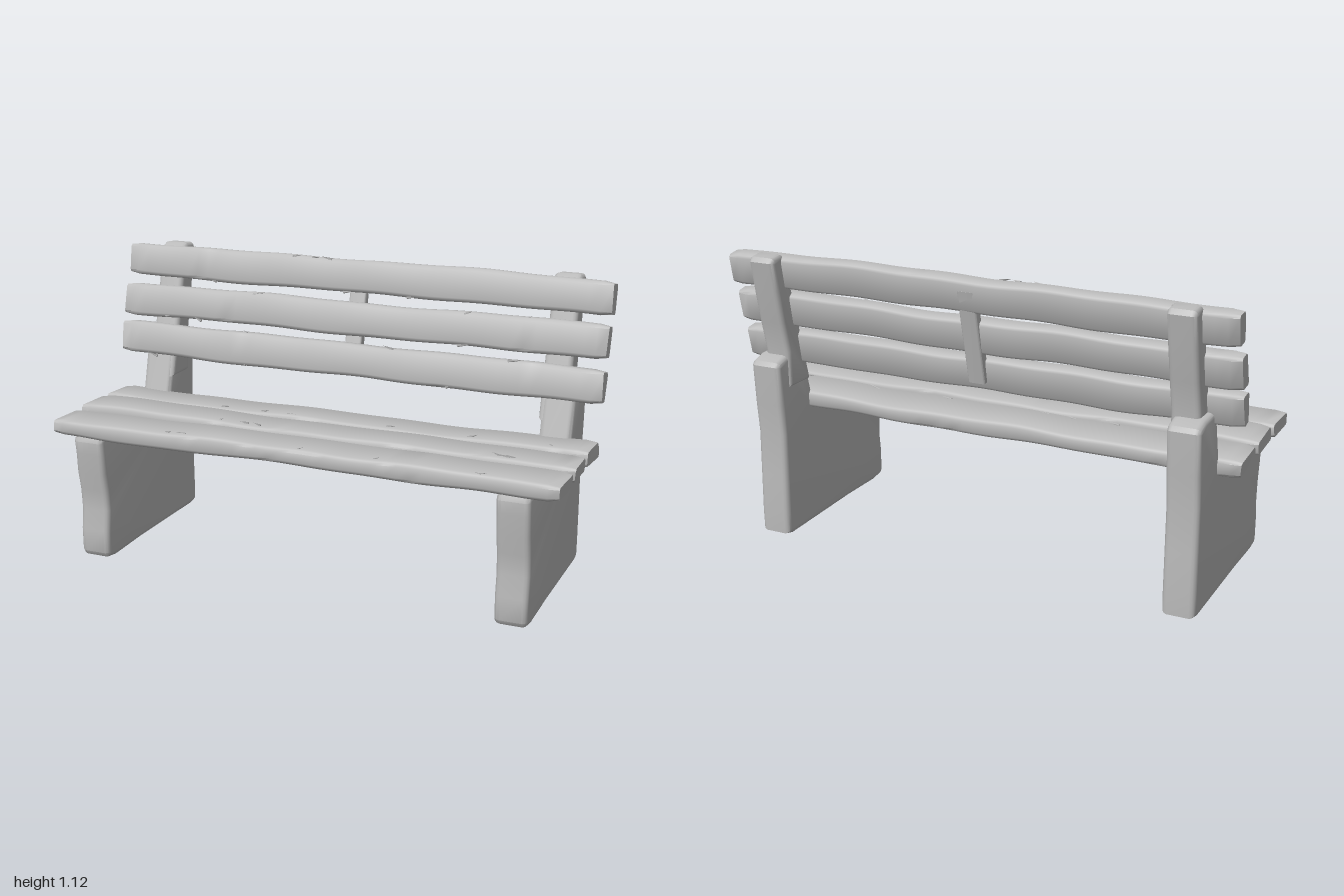
import * as THREE from 'three';
import { mergeVertices, toCreasedNormals } from 'three/addons/utils/BufferGeometryUtils.js';

const wood = new THREE.MeshStandardMaterial({ color: 0xbcbcbc });
wood.name = 'weathered grey';

// Seeded random numbers for the worn edges
let seed = 7;
const rand = () => {
  seed = (seed * 16807) % 2147483647;
  return seed / 2147483647;
};

function smooth(geo, angle) {
  geo.deleteAttribute('uv');
  geo.deleteAttribute('normal');
  return toCreasedNormals(mergeVertices(geo, 1e-4), angle);
}

// A long board with chamfered, uneven edges and a slight bow
function plank(name, length, height, depth, phase) {
  const geo = new THREE.BoxGeometry(length, height, depth, 44, 3, 3);
  const p = geo.attributes.position;
  const c = 0.011;
  const wave = (x, f, k) => Math.sin(x * f + phase * k) * 0.6 + Math.sin(x * f * 2.3 + phase * k * 1.7) * 0.4;
  for (let i = 0; i < p.count; i++) {
    let x = p.getX(i), y = p.getY(i), z = p.getZ(i);
    const sy = Math.sign(y), sz = Math.sign(z);
    const onY = Math.abs(y) > height * 0.49, onZ = Math.abs(z) > depth * 0.49;
    const end = Math.abs(x) > length * 0.499;
    // inner rows sit close to the edges, corners are pulled in
    y = sy * (height / 2 - (onY ? 0 : c * 1.3));
    z = sz * (depth / 2 - (onZ ? 0 : c * 1.3));
    if (onY && onZ) { y -= sy * c * 0.45; z -= sz * c * 0.45; }
    if (end) {
      if (onY) y -= sy * c * 0.6;
      if (onZ) z -= sz * c * 0.6;
      x += wave(y * 20 + z * 15, 1, 2) * 0.004 - Math.sign(x) * 0.004;
    }
    // worn outline and bow
    y += wave(x, 7, sy + 3) * 0.004 + wave(x, 2, 1) * 0.004;
    z += wave(x, 8, sz + 5) * 0.004;
    p.setXYZ(i, x, y, z);
  }
  const mesh = new THREE.Mesh(smooth(geo, 0.75), wood);
  mesh.name = name;
  return mesh;
}

// Small raised splinters along one edge of a board
function splinters(board, count, length, y, z) {
  for (let i = 0; i < count; i++) {
    const geo = new THREE.ConeGeometry(0.007, 0.025 + rand() * 0.03, 3);
    geo.rotateZ((rand() < 0.5 ? 1 : -1) * (1.15 + rand() * 0.3));
    const s = new THREE.Mesh(geo, wood);
    s.name = 'splinter';
    s.position.set((rand() - 0.5) * length * 0.9, y, z * (0.8 + rand() * 0.2));
    board.add(s);
  }
}

// A side profile given as [z, y], extruded across x with soft edges
function slab(name, points, width, bevel) {
  const shape = new THREE.Shape(points.map(([z, y]) => new THREE.Vector2(z, y)));
  const geo = new THREE.ExtrudeGeometry(shape, {
    depth: width - bevel * 2, bevelEnabled: true, bevelSize: bevel,
    bevelThickness: bevel, bevelOffset: -bevel, bevelSegments: 3,
  });
  geo.translate(0, 0, bevel - width / 2);
  geo.rotateY(-Math.PI / 2);
  const mesh = new THREE.Mesh(smooth(geo, 0.6), wood);
  mesh.name = name;
  return mesh;
}

export function createModel() {
  const bench = new THREE.Group();
  bench.name = 'bench';

  // Solid end panels with a rear shoulder, and the leaning posts above
  const panelProfile = [
    [0.355, 0.012], [0.367, 0.03], [0.368, 0.12], [0.358, 0.2], [0.364, 0.28], [0.378, 0.35],
    [0.383, 0.43], [0.39, 0.48], [0.38, 0.502], [-0.14, 0.502], [-0.2, 0.73], [-0.31, 0.728],
    [-0.365, 0.712], [-0.376, 0.695], [-0.366, 0.54], [-0.354, 0.42], [-0.357, 0.25],
    [-0.36, 0.09], [-0.357, 0.012], [-0.32, 0.003], [0.1, 0.008], [0.3, 0.004],
  ];
  const postProfile = [
    [-0.17, 0.6], [-0.225, 0.82], [-0.268, 0.98], [-0.3, 1.11], [-0.33, 1.124], [-0.38, 1.118],
    [-0.392, 1.1], [-0.37, 0.99], [-0.342, 0.86], [-0.312, 0.74], [-0.31, 0.6],
  ];
  for (const side of [-1, 1]) {
    const name = side > 0 ? 'left' : 'right';
    const panel = slab(name + 'EndPanel', panelProfile, 0.122, 0.02);
    panel.position.x = side * 0.829;
    const post = slab(name + 'BackPost', postProfile, 0.106, 0.018);
    post.position.x = side * 0.812;
    bench.add(panel, post);
  }

  // Seat boards: [y, z, tilt]
  [[0.527, 0.307, -0.02], [0.527, 0.107, -0.05], [0.517, -0.09, -0.06]].forEach(([y, z, tilt], i) => {
    const board = plank('seatBoard' + (i + 1), 1.972, 0.064, 0.176, i * 2.1 + 1);
    board.position.set(0.007, y, z);
    board.rotation.x = tilt;
    splinters(board, 6, 1.9, 0.032, 0.07);
    bench.add(board);
  });

  // Backrest boards: [y, z]
  [[0.745, -0.204], [0.898, -0.25], [1.052, -0.294]].forEach(([y, z], i) => {
    const board = plank('backBoard' + (i + 1), 1.992, 0.128, 0.066, i * 1.7 + 4);
    board.position.set(0, y, z);
    board.rotation.x = -0.19;
    splinters(board, 3, 1.9, 0.062, 0.03);
    splinters(board, 3, 1.9, -0.06, 0.03);
    bench.add(board);
  });

  // Thin brace tying the backrest boards at the middle
  const brace = slab('middleBrace', [
    [-0.205, 0.71], [-0.3, 1.07], [-0.335, 1.07], [-0.247, 0.71],
  ], 0.068, 0.008);
  bench.add(brace);

  return bench;
}
